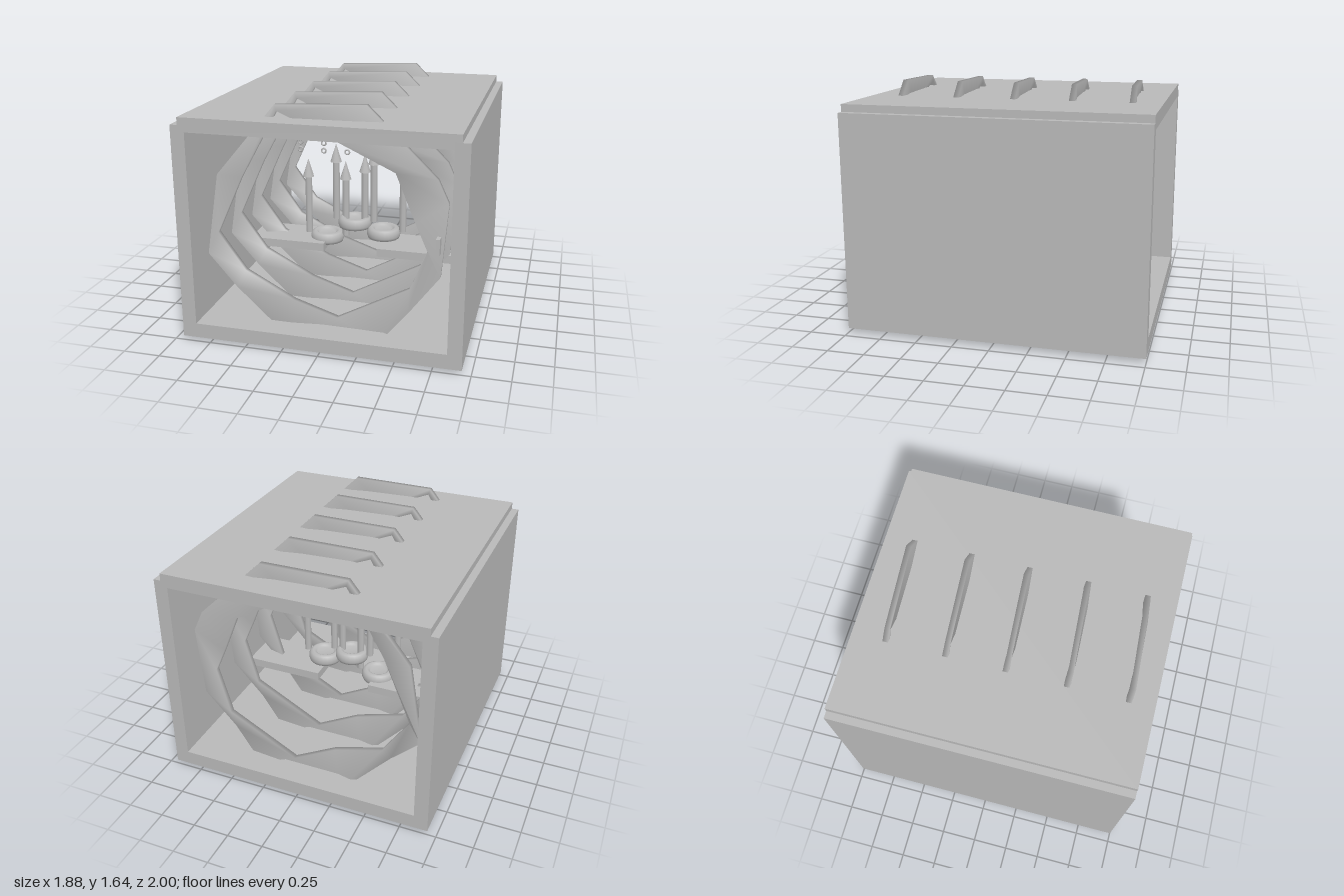
import * as THREE from 'three';

export function createModel() {
  const root = new THREE.Group();
  const grey = new THREE.MeshStandardMaterial({ color: 0xb8b8b8 });

  function add(name, geometry, x = 0, y = 0, z = 0, parent = root) {
    const mesh = new THREE.Mesh(geometry, grey);
    mesh.name = name;
    mesh.position.set(x, y, z);
    parent.add(mesh);
    return mesh;
  }
  // Box given by its limits
  const block = (name, x0, x1, y0, y1, z0, z1) =>
    add(name, new THREE.BoxGeometry(x1 - x0, y1 - y0, z1 - z0),
      (x0 + x1) / 2, (y0 + y1) / 2, (z0 + z1) / 2);

  // Open-ended tunnel: floor, walls and a slightly raised, narrower roof
  block('floor', -0.94, 0.94, 0.03, 0.13, -1, 1);
  block('leftWall', 0.845, 0.94, 0.13, 1.49, -1, 1);
  block('rightWall', -0.94, -0.845, 0.13, 1.49, -1, 1);
  block('roof', -0.89, 0.89, 1.445, 1.54, -1, 1);

  // Twisted ring: each section has an outer x, y, z and an inner x, y, z
  const sections = [
    [0.80, 1.05, 0.00, 0.60, 0.92, 0.03],
    [0.73, 1.20, 0.00, 0.46, 1.22, -0.02],
    [0.28, 1.64, 0.00, 0.08, 1.42, 0.04],
    [-0.30, 1.62, 0.035, -0.29, 1.58, 0.03],
    [-0.72, 1.13, 0.00, -0.54, 1.13, 0.03],
    [-0.81, 0.57, 0.00, -0.74, 0.72, -0.02],
    [-0.60, 0.36, 0.03, -0.56, 0.46, -0.03],
    [-0.25, 0.00, -0.01, -0.20, 0.31, 0.03],
    [0.36, 0.05, 0.00, 0.08, 0.19, -0.02],
    [0.56, 0.30, 0.03, 0.56, 0.45, -0.02],
    [0.76, 0.56, 0.00, 0.68, 0.74, 0.03],
  ];
  const half = 0.018;
  const positions = [], indices = [];
  sections.forEach(([ox, oy, oz, ix, iy, iz], i) => {
    positions.push(ox, oy, oz + half, ix, iy, iz + half, ix, iy, iz - half, ox, oy, oz - half);
    const a = i * 4, b = ((i + 1) % sections.length) * 4;
    for (let j = 0; j < 4; j++) {
      const k = (j + 1) % 4;
      indices.push(a + j, b + j, b + k, a + j, b + k, a + k);
    }
  });
  const ringGeometry = new THREE.BufferGeometry();
  ringGeometry.setAttribute('position', new THREE.Float32BufferAttribute(positions, 3));
  ringGeometry.setIndex(indices);
  ringGeometry.computeVertexNormals();
  for (let i = 0; i < 5; i++) add('twistedRing', ringGeometry, 0, 0, 0.8 - i * 0.4);

  // Side platforms
  block('leftPlatform', 0.2, 0.765, 0.39, 0.45, -0.17, 0.17);
  block('rightPlatform', -0.765, -0.2, 0.39, 0.45, -0.17, 0.17);

  // Small panel by the front ring
  block('sidePanel', 0.735, 0.76, 0.73, 0.84, 0.82, 0.88);

  // Round seats, each flanked by two pointed posts
  const seatProfile = [[0, 0], [0.115, 0], [0.123, 0.02], [0.123, 0.05], [0.11, 0.072],
    [0.09, 0.08], [0.07, 0.07], [0.06, 0.055], [0, 0.055]].map(p => new THREE.Vector2(...p));
  const seat = new THREE.LatheGeometry(seatProfile, 24);
  const shaft = new THREE.CylinderGeometry(0.026, 0.026, 0.435, 8);
  const tip = new THREE.ConeGeometry(0.043, 0.135, 8);
  for (const [x, y] of [[-0.217, 0.42], [-0.005, 0.547], [0.212, 0.485]]) {
    const unit = new THREE.Group();
    unit.name = 'seatWithPosts';
    unit.position.set(x, y, 0);
    root.add(unit);
    add('seat', seat, 0, 0, 0, unit);
    for (const side of [-1, 1]) {
      add('postShaft', shaft, side * 0.142, 0.27, 0, unit);
      add('postTip', tip, side * 0.142, 0.553, 0, unit);
    }
  }

  // Hanging strings of small rings
  const bead = new THREE.TorusGeometry(0.017, 0.006, 6, 12);
  for (let c = 0; c < 6; c++)
    for (let r = 0; r < 6; r++)
      add('hangingBead', bead, -0.45 + c * 0.18, 1.08 + r * 0.058, -0.1);

  return root;
}
